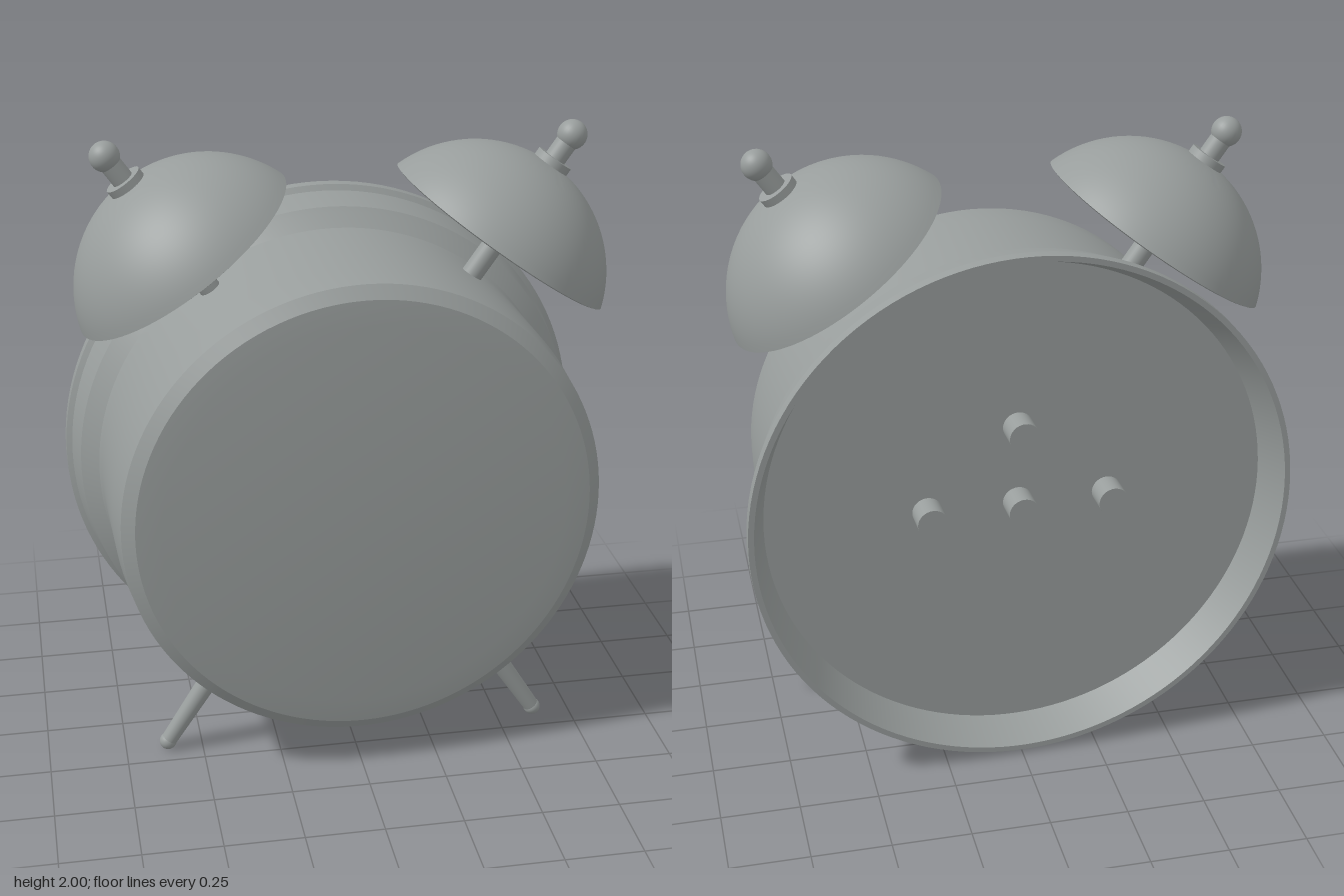
import * as THREE from 'three';
import { toCreasedNormals } from 'three/addons/utils/BufferGeometryUtils.js';

const metal = new THREE.MeshStandardMaterial({ color: 0x989d9c });
metal.name = 'grey metal';

function add(parent, name, geometry, x = 0, y = 0, z = 0) {
  const mesh = new THREE.Mesh(geometry, metal);
  mesh.name = name;
  mesh.position.set(x, y, z);
  parent.add(mesh);
  return mesh;
}

// Turned part: profile of [radius, height], smooth with sharp creases
function turned(profile, segments = 96) {
  const points = profile.map(([r, h]) => new THREE.Vector2(r, h));
  return toCreasedNormals(new THREE.LatheGeometry(points, segments), 0.5);
}

// Case: recessed back, flared rear rim, drum and bevelled front
function makeCase() {
  const group = new THREE.Group();
  group.name = 'clockCase';
  const body = turned([
    [0, -0.255], [0.8, -0.255], [0.845, -0.375], [0.863, -0.375], [0.863, -0.337],
    [0.845, -0.325], [0.826, -0.21], [0.81, -0.195], [0.772, -0.155], [0.766, -0.13],
    [0.766, 0.22], [0.755, 0.345], [0.715, 0.375], [0.635, 0.384], [0, 0.385],
  ], 128);
  body.rotateX(Math.PI / 2);
  add(group, 'caseBody', body);

  // Winding pegs on the back
  for (const [x, y] of [[0, 0], [0.29, 0], [-0.29, 0], [0, 0.26]]) {
    add(group, 'windingPeg', new THREE.CylinderGeometry(0.048, 0.048, 0.1, 32), x, y, -0.29)
      .rotation.x = Math.PI / 2;
  }
  group.position.y = 0.877;
  group.rotation.y = 0.029;
  return group;
}

// Bell: hollow spherical cap on a post, with collar, stem and knob
function makeBell(side) {
  const group = new THREE.Group();
  group.name = side > 0 ? 'leftBell' : 'rightBell';
  const rim = 0.391, height = 0.275, wall = 0.012, steps = 20;
  const R = (rim * rim + height * height) / (2 * height);
  const spread = Math.asin(rim / R);
  const cap = (radius, t) => [radius * Math.sin(t * spread), radius * Math.cos(t * spread) + height - R];
  const profile = [];
  for (let i = 0; i <= steps; i++) profile.push(cap(R - wall, i / steps));
  for (let i = steps; i >= 0; i--) profile.push(cap(R, i / steps));
  add(group, 'bellDome', turned(profile));
  add(group, 'bellPost', new THREE.CylinderGeometry(0.034, 0.034, 0.47, 32), 0, 0.035);
  add(group, 'bellCollar', new THREE.CylinderGeometry(0.06, 0.06, 0.03, 32), 0, 0.28);
  add(group, 'bellStem', new THREE.CylinderGeometry(0.034, 0.034, 0.1, 32), 0, 0.325);
  add(group, 'bellKnob', new THREE.SphereGeometry(0.047, 32, 20), 0, 0.384);
  group.position.set(side * 0.5 + 0.004, 1.64, -0.015);
  group.rotation.z = -side * 0.613;
  return group;
}

// Leg: tapered rod with a rounded foot
function makeLeg(side) {
  const group = new THREE.Group();
  group.name = side > 0 ? 'leftLeg' : 'rightLeg';
  add(group, 'legRod', new THREE.CylinderGeometry(0.033, 0.026, 0.31, 32), 0, 0.155);
  add(group, 'foot', new THREE.SphereGeometry(0.028, 24, 16));
  group.position.set(side * 0.617 + 0.004, 0.028, 0.175);
  group.rotation.z = side * 0.574;
  return group;
}

export function createModel() {
  const model = new THREE.Group();
  model.name = 'alarmClock';
  model.add(makeCase());
  for (const side of [1, -1]) model.add(makeBell(side), makeLeg(side));
  return model;
}
